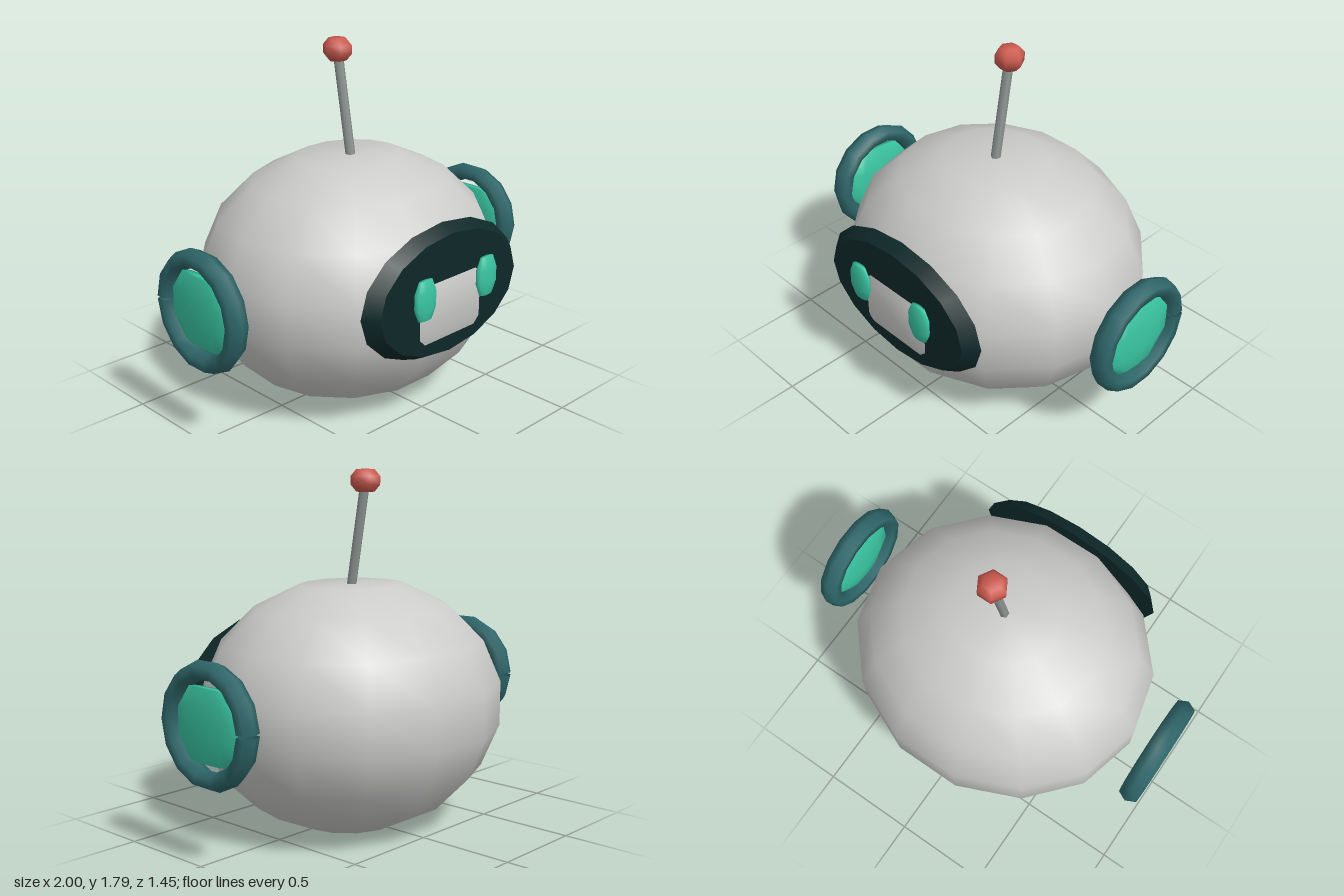
import * as THREE from 'three';

const mat = (name, color, side = THREE.FrontSide) => {
  const m = new THREE.MeshStandardMaterial({ color, side });
  m.name = name;
  return m;
};

// Low-poly smooth ellipsoid whose poles are cut flat at the outermost rings
function cutBall(segments, rings, rx, ry, rz) {
  const geo = new THREE.SphereGeometry(1, segments, rings);
  const limit = Math.cos(Math.PI / rings);
  const p = geo.attributes.position;
  for (let i = 0; i < p.count; i++) {
    p.setY(i, THREE.MathUtils.clamp(p.getY(i), -limit, limit));
  }
  return geo.scale(rx, ry, rz);
}

export function createModel() {
  const shell = mat('shell grey', 0xcbcbca);
  const dark = mat('visor dark', 0x0e2828);
  const teal = mat('ring teal', 0x2e6669, THREE.DoubleSide);
  const mint = mat('mint green', 0x3ac7a3);
  const steel = mat('antenna grey', 0x8f9795);
  const red = mat('tip red', 0xcd5a4f);

  const model = new THREE.Group();
  model.name = 'robotHead';
  const add = (name, geo, material, x, y, z) => {
    const mesh = new THREE.Mesh(geo, material);
    mesh.name = name;
    mesh.position.set(x, y, z);
    model.add(mesh);
    return mesh;
  };

  // Round body
  add('body', cutBall(14, 9, 0.815, 0.649, 0.735), shell, 0, 0.61, -0.021);

  // Bevelled oval visor; the front of the body shows through its middle
  const visorGeo = new THREE.CylinderGeometry(0.89, 1, 0.068, 16);
  visorGeo.rotateX(Math.PI / 2).scale(0.535, 0.339, 1);
  add('visor', visorGeo, dark, 0, 0.681, 0.636);

  // Eyes and ears, mirrored
  const eyeGeo = cutBall(10, 5, 0.076, 0.121, 0.026);
  const padGeo = cutBall(10, 5, 0.042, 0.216, 0.226);
  const gap = 0.05;
  const ringGeo = new THREE.TorusGeometry(0.258, 0.047, 6, 14, Math.PI * 2 - gap);
  ringGeo.rotateZ(gap / 2).scale(1, 1, 1.22).rotateY(Math.PI / 2); // gap faces the back
  for (const [side, s] of [['left', 1], ['right', -1]]) {
    add(side + 'Eye', eyeGeo, mint, s * 0.217, 0.717, 0.703);
    add(side + 'EarRing', ringGeo, teal, s * 0.95, 0.656, -0.022);
    add(side + 'EarPad', padGeo, mint, s * 0.95, 0.656, -0.022);
  }

  // Antenna leaning back, with a faceted tip
  const base = new THREE.Vector3(0, 1.2, -0.016);
  const tip = new THREE.Vector3(0, 1.735, -0.11);
  const dir = tip.clone().sub(base);
  const mid = base.clone().add(tip).multiplyScalar(0.5);
  const rod = add('antennaRod', new THREE.CylinderGeometry(0.025, 0.025, dir.length(), 6), steel, mid.x, mid.y, mid.z);
  rod.quaternion.setFromUnitVectors(new THREE.Vector3(0, 1, 0), dir.normalize());
  add('antennaTip', cutBall(6, 5, 0.078, 0.068, 0.078), red, tip.x, tip.y, tip.z);

  return model;
}
